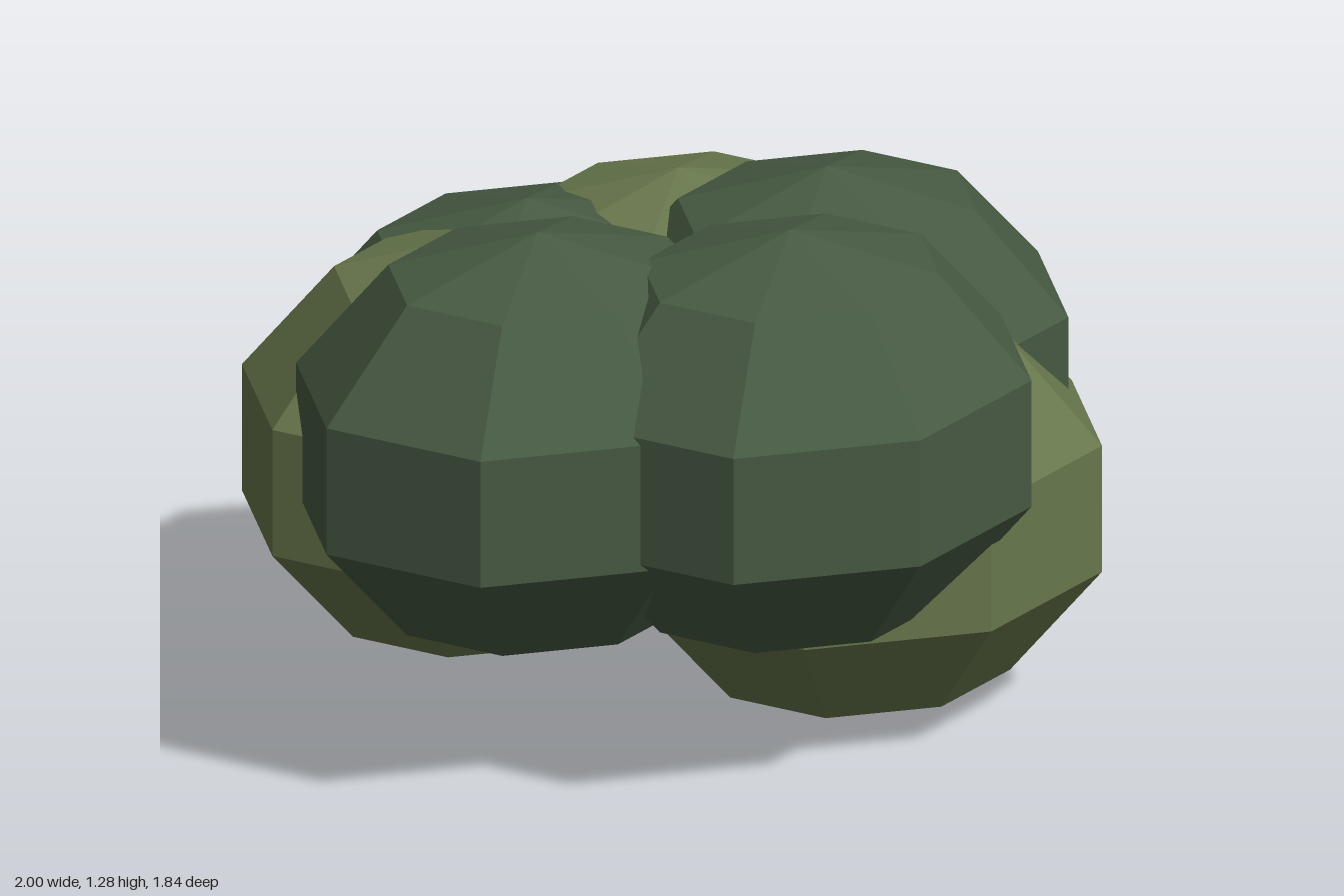
import * as THREE from 'three';

export function createModel() {
  const group = new THREE.Group();
  group.name = 'bush';

  const darkLeaf = new THREE.MeshStandardMaterial({ color: 0x475a42, flatShading: true });
  darkLeaf.name = 'dark leaf green';
  const lightLeaf = new THREE.MeshStandardMaterial({ color: 0x68774c, flatShading: true });
  lightLeaf.name = 'light olive green';

  // One faceted, slightly flattened clump shared by the whole bush
  const clump = new THREE.SphereGeometry(1, 8, 5);
  clump.scale(0.606, 0.493, 0.536);

  // Overlapping clumps: name, centre, colour
  const clumps = [
    ['frontClump', 0.03, 0.79, 0.41, darkLeaf],
    ['rightClump', -0.42, 0.773, 0.065, darkLeaf],
    ['leftClump', 0.424, 0.712, -0.01, darkLeaf],
    ['backClump', -0.115, 0.625, -0.415, darkLeaf],
    ['lowFrontLeftClump', 0.352, 0.496, 0.225, lightLeaf],
    ['backLeftClump', 0.252, 0.637, -0.345, lightLeaf],
    ['backRightClump', -0.32, 0.628, -0.29, lightLeaf],
  ];
  for (const [name, x, y, z, material] of clumps) {
    const mesh = new THREE.Mesh(clump, material);
    mesh.name = name;
    mesh.position.set(x, y, z);
    group.add(mesh);
  }
  return group;
}
